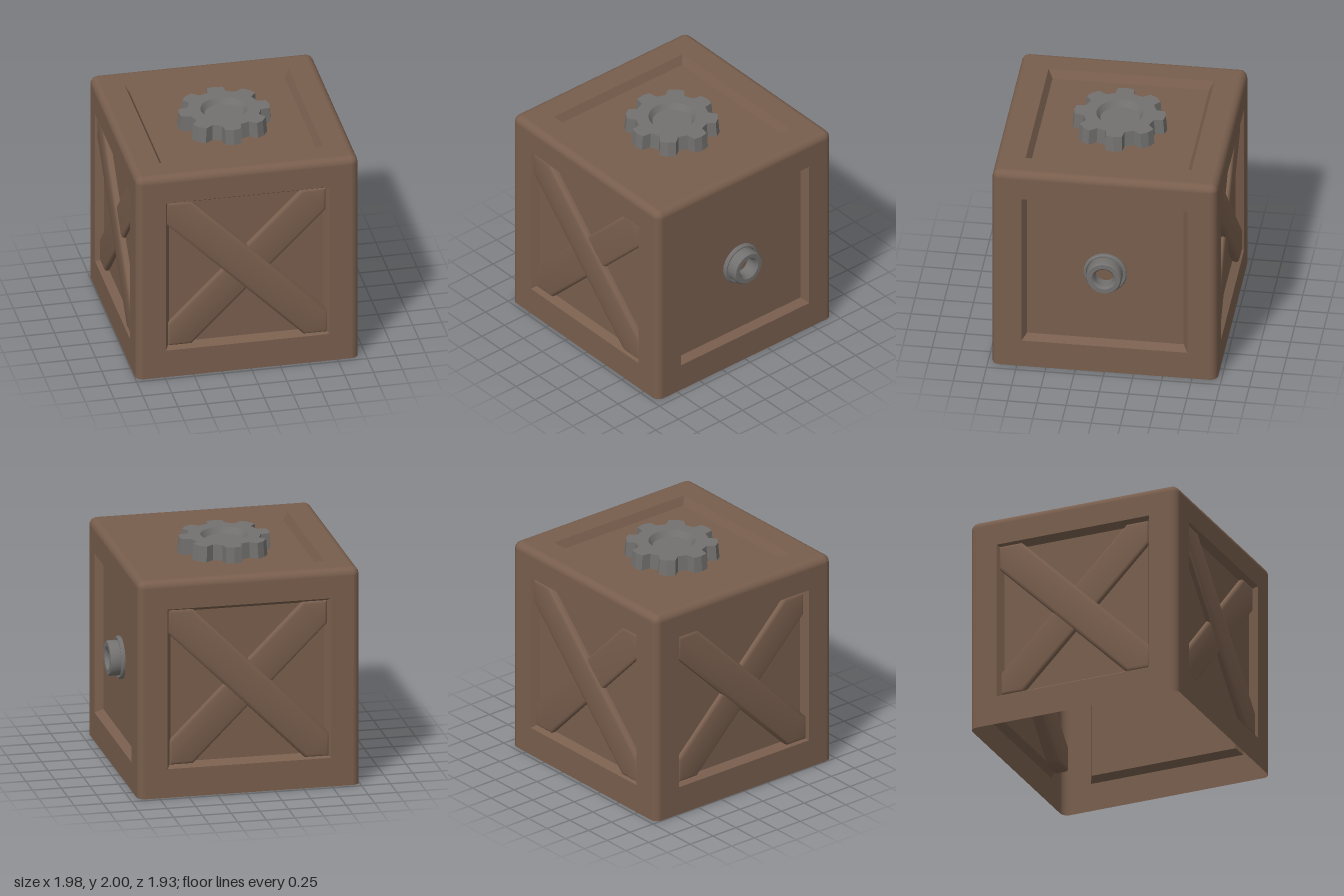
import * as THREE from 'three';
import { mergeGeometries, toCreasedNormals } from 'three/addons/utils/BufferGeometryUtils.js';

const S = 0.965;      // half size of the crate
const R = 0.065;      // edge rounding
const HOLE = 0.71;    // half size of the recess opening
const INSET = 0.04;   // slope of the recess wall
const DEPTH = 0.068;  // recess depth

const wood = new THREE.MeshStandardMaterial({ color: 0x785e4d, side: THREE.DoubleSide });
wood.name = 'brown wood';
const metal = new THREE.MeshStandardMaterial({ color: 0x72716f, side: THREE.DoubleSide });
metal.name = 'grey metal';

function add(parent, name, geometry, material) {
  const mesh = new THREE.Mesh(geometry, material);
  mesh.name = name;
  parent.add(mesh);
  return mesh;
}

function polygon(points) {
  return new THREE.Shape(points.map(([x, y]) => new THREE.Vector2(x, y)));
}

// One crate side facing +z: frame, sloped recess wall and sunken panel
function crateSide(name, bottom) {
  const side = new THREE.Group();
  side.name = name;
  const e = S - R;
  const frame = polygon([[-e, bottom], [e, bottom], [e, e], [-e, e]]);
  frame.holes.push(polygon([[-HOLE, -HOLE], [-HOLE, HOLE], [HOLE, HOLE], [HOLE, -HOLE]]));
  add(side, 'frame', new THREE.ShapeGeometry(frame), wood).position.z = S;

  const inner = HOLE - INSET;
  let wall = new THREE.CylinderGeometry(HOLE * Math.SQRT2, inner * Math.SQRT2, DEPTH, 4, 1, true);
  wall.rotateY(Math.PI / 4).rotateX(Math.PI / 2);
  wall = wall.toNonIndexed();
  wall.computeVertexNormals();
  add(side, 'recessWall', wall, wood).position.z = S - DEPTH / 2;
  add(side, 'panel', new THREE.PlaneGeometry(2 * inner, 2 * inner), wood).position.z = S - DEPTH;
  return side;
}

// Diagonal plank with pointed ends that fit the recess corners
function brace(half, back, front, flip) {
  const b = 0.03;
  const h = half - b, w = 0.21 - b * Math.SQRT2;
  const shape = polygon([[-h, h], [-h, h - w], [h - w, -h], [h, -h], [h, w - h], [w - h, h]]);
  const geometry = new THREE.ExtrudeGeometry(shape, {
    depth: front - back - 2 * b, bevelThickness: b, bevelSize: b, bevelSegments: 3,
  });
  geometry.translate(0, 0, back + b);
  if (flip) geometry.rotateZ(Math.PI / 2);
  return toCreasedNormals(geometry, 0.7);
}

// Rounded vertical edges, top edges and top corners
function roundedEdges() {
  const e = S - R, parts = [];
  for (let i = 0; i < 4; i++) {
    const turn = i * Math.PI / 2;
    const upright = new THREE.CylinderGeometry(R, R, S + e, 4, 1, true, 0, Math.PI / 2);
    upright.translate(e, (e - S) / 2, e);
    const rim = new THREE.CylinderGeometry(R, R, 2 * e, 4, 1, true, 0, Math.PI / 2);
    rim.rotateZ(Math.PI / 2).translate(0, e, e);
    const corner = new THREE.SphereGeometry(R, 4, 4, Math.PI / 2, Math.PI / 2, 0, Math.PI / 2);
    corner.translate(e, e, e);
    parts.push(upright.rotateY(turn), rim.rotateY(turn), corner.rotateY(turn));
  }
  return mergeGeometries(parts);
}

// Eight-toothed gear lying flat, base at y = 0, slightly wider below
function gear(height) {
  const group = new THREE.Group();
  group.name = 'gear';
  const points = [];
  const at = (r, a) => points.push([r * Math.cos(a), r * Math.sin(a)]);
  for (let i = 0; i < 8; i++) {
    const a = i * Math.PI / 4;
    at(0.312, a - 0.26);
    at(0.385, a - 0.18);
    at(0.393, a);
    at(0.385, a + 0.18);
    at(0.312, a + 0.26);
  }
  const shape = polygon(points);
  const bore = new THREE.Path();
  bore.absarc(0, 0, 0.2, 0, Math.PI * 2, true);
  shape.holes.push(bore);
  const body = new THREE.ExtrudeGeometry(shape, { depth: height, bevelEnabled: false, curveSegments: 16 });
  body.rotateX(-Math.PI / 2);
  const p = body.attributes.position;
  for (let i = 0; i < p.count; i++) {
    const s = p.getY(i) < height / 2 ? 1.03 : 1;
    p.setXYZ(i, p.getX(i) * s, p.getY(i), p.getZ(i) * s);
  }
  body.computeVertexNormals();
  add(group, 'gearBody', body, metal);

  // Shallow dish in the middle
  const dish = [[0, height - 0.05], [0.167, height - 0.05], [0.2, height]];
  const lathe = new THREE.LatheGeometry(dish.map(([x, y]) => new THREE.Vector2(x, y)), 32);
  add(group, 'gearDish', toCreasedNormals(lathe, 0.5), metal);
  return group;
}

// Hollow collar with a flange, pointing along +x
function collar() {
  const profile = [
    [0.185, 0], [0.187, 0.02], [0.175, 0.033], [0.163, 0.033], [0.157, 0.018], [0.152, 0.018],
    [0.152, 0.105], [0.142, 0.12], [0.102, 0.12], [0.084, 0.1], [0.084, 0],
  ].map(([x, y]) => new THREE.Vector2(x, y));
  const geometry = new THREE.LatheGeometry(profile, 24);
  geometry.rotateZ(-Math.PI / 2);
  return toCreasedNormals(geometry, 0.6);
}

export function createModel() {
  const model = new THREE.Group();
  model.name = 'crate';
  const crate = new THREE.Group();
  crate.name = 'crateBody';
  crate.position.set(-0.03, S, 0);
  model.add(crate);

  // Four sides, open at the bottom; three carry crossed braces
  ['front', 'right', 'back', 'left'].forEach((name, i) => {
    const side = crateSide(name + 'Side', -S);
    side.rotation.y = i * Math.PI / 2;
    if (name !== 'right') {
      add(side, 'upperBrace', brace(0.7, 0.8, 0.952, false), wood);
      add(side, 'lowerBrace', brace(0.69, 0.785, 0.934, true), wood);
    }
    crate.add(side);
  });

  const lid = crateSide('topSide', -(S - R));
  lid.rotation.x = -Math.PI / 2;
  crate.add(lid);
  add(crate, 'roundedEdges', roundedEdges(), wood);

  const topGear = gear(2 - 2 * S + DEPTH);
  topGear.position.y = S - DEPTH;
  crate.add(topGear);
  add(crate, 'collar', collar(), metal).position.x = S - DEPTH;
  return model;
}
